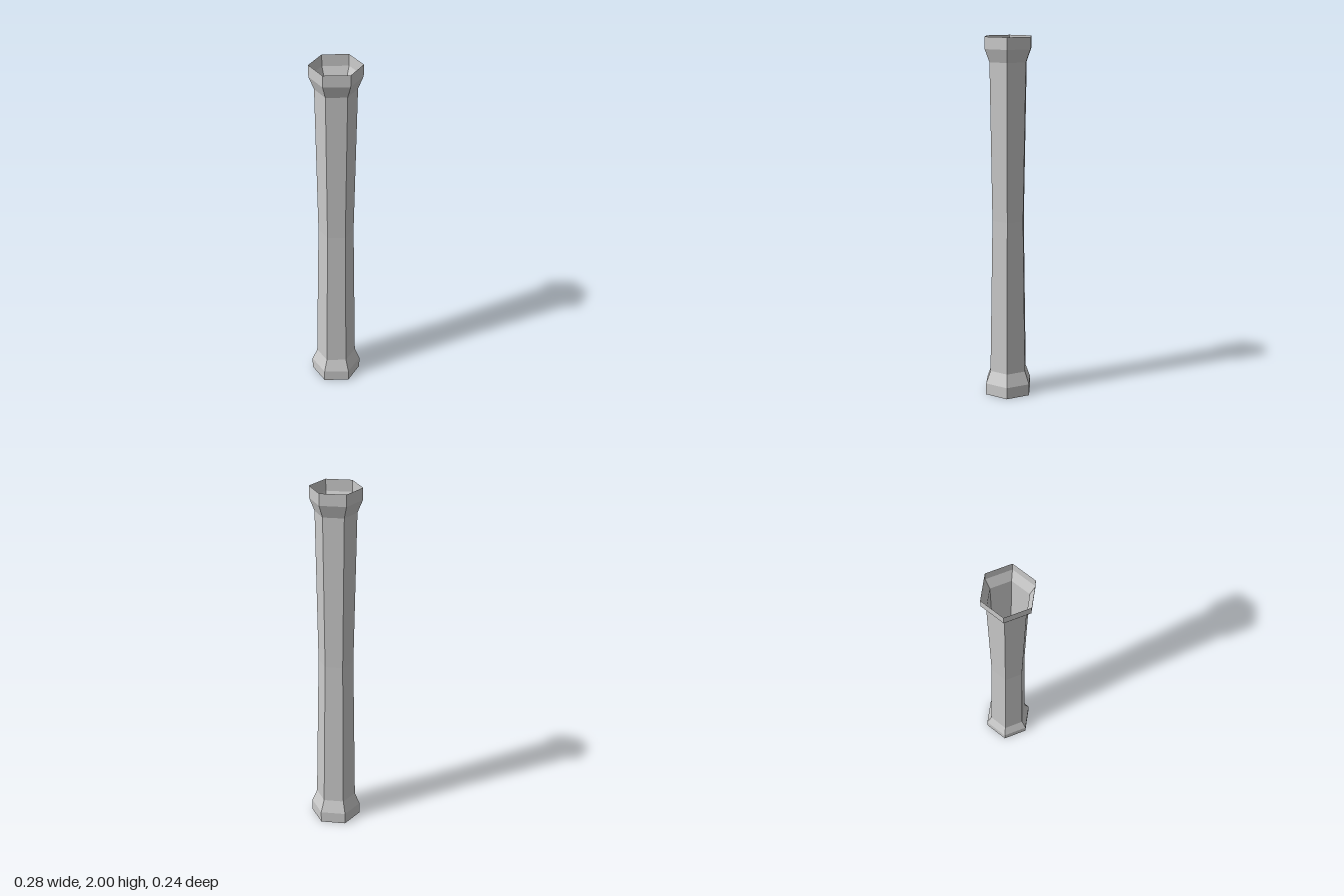
import * as THREE from 'three';

const SIDES = 6;

export function createModel() {
  const group = new THREE.Group();
  group.name = 'hexagonalColumn';

  const stone = new THREE.MeshStandardMaterial({
    color: 0xcccccc, side: THREE.DoubleSide, flatShading: true,
  });
  stone.name = 'light grey';

  // Open six-sided tube section from [radius, height] pairs, corners on the x axis
  const addSection = (name, profile) => {
    const points = profile.map(([r, y]) => new THREE.Vector2(r, y));
    const lathe = new THREE.LatheGeometry(points, SIDES, Math.PI / 2);
    const geometry = lathe.toNonIndexed();
    geometry.computeVertexNormals();
    const mesh = new THREE.Mesh(geometry, stone);
    mesh.name = name;
    group.add(mesh);
  };

  // Flared foot, waisted shaft and flared head, open at both ends
  addSection('base', [[0.14, 0], [0.14, 0.065], [0.112, 0.135]]);
  addSection('shaft', [[0.112, 0.135], [0.097, 1], [0.112, 1.865]]);
  addSection('capital', [[0.112, 1.865], [0.14, 1.935], [0.14, 2]]);

  return group;
}
